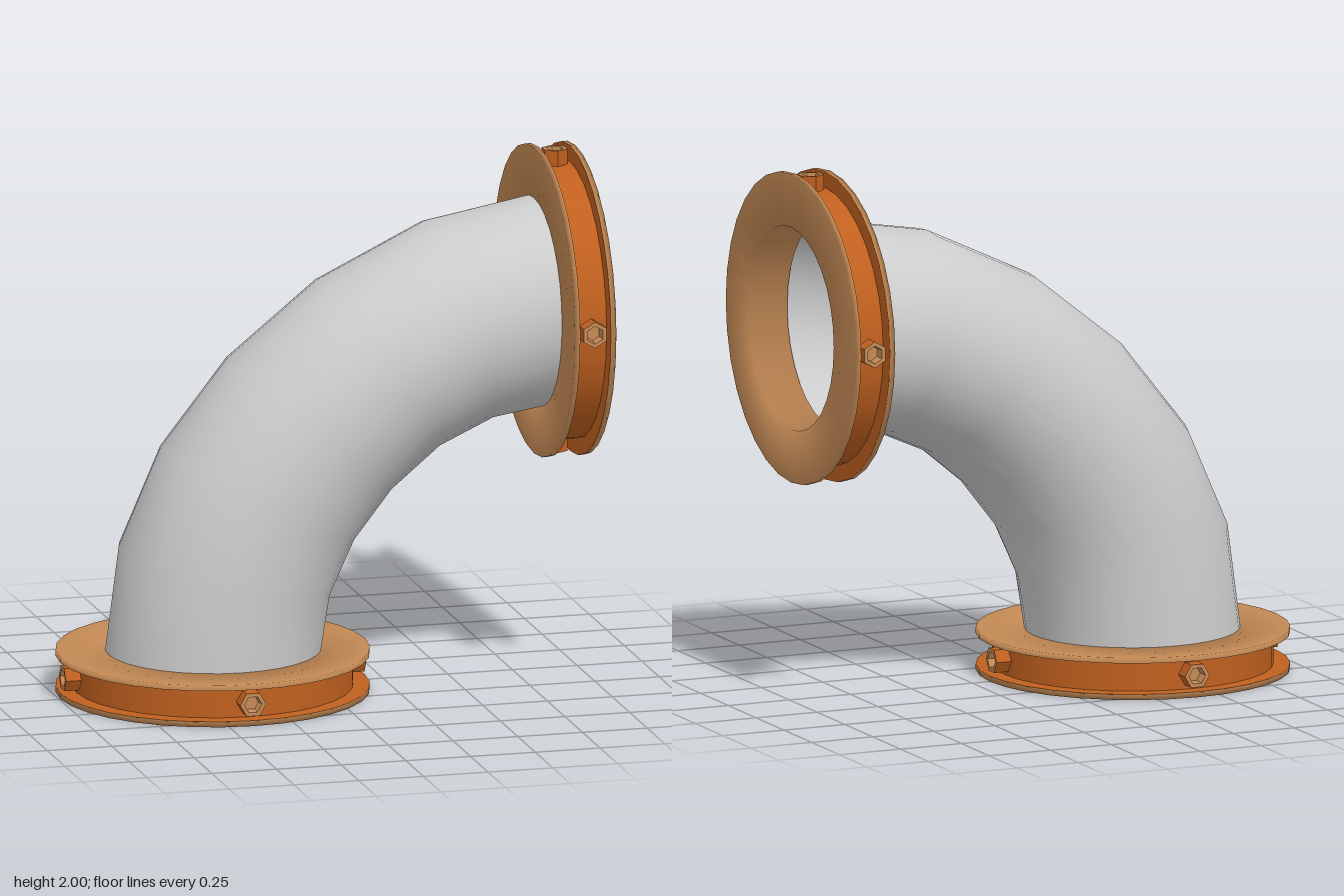
import * as THREE from 'three';
import { mergeGeometries } from 'three/addons/utils/BufferGeometryUtils.js';

const mat = (name, color, side = THREE.FrontSide) => {
  const m = new THREE.MeshStandardMaterial({ color, side });
  m.name = name;
  return m;
};

const lathe = (pts, sides) =>
  new THREE.LatheGeometry(pts.map(([r, y]) => new THREE.Vector2(r, y)), sides);

function flat(geometry) {
  const g = geometry.toNonIndexed();
  g.computeVertexNormals();
  return g;
}

function add(parent, name, geometry, material) {
  const mesh = new THREE.Mesh(geometry, material);
  mesh.name = name;
  parent.add(mesh);
  return mesh;
}

// Bent tube lofted through rings, each given by its outer and inner bend point
function pipeGeometry() {
  const rings = [ // outer x, y, inner x, y, sideways shift
    [-0.812, 0.15, -0.004, 0.15, 0.003],
    [-0.76, 0.56, 0.03, 0.37, 0.01],
    [-0.6, 0.93, 0.12, 0.57, 0.015],
    [-0.34, 1.26, 0.26, 0.75, 0.017],
    [0.01, 1.54, 0.44, 0.9, 0.015],
    [0.43, 1.74, 0.64, 0.99, 0.01],
    [0.85, 1.813, 0.85, 1.02, 0.002],
  ];
  const sides = 32, pos = [], index = [];
  for (const [ox, oy, ix, iy, dz] of rings) {
    for (let j = 0; j < sides; j++) {
      const a = (j / sides) * Math.PI * 2, t = (1 + Math.cos(a)) / 2;
      pos.push(ix + (ox - ix) * t, iy + (oy - iy) * t, 0.4 * Math.sin(a) + dz);
    }
  }
  for (let i = 0; i < rings.length - 1; i++) {
    for (let j = 0; j < sides; j++) {
      const k = (j + 1) % sides;
      const a = i * sides + j, b = i * sides + k, c = a + sides, d = b + sides;
      index.push(a, b, c, b, d, c);
    }
  }
  const g = new THREE.BufferGeometry();
  g.setAttribute('position', new THREE.Float32BufferAttribute(pos, 3));
  g.setIndex(index);
  g.computeVertexNormals();
  return g;
}

// Grooved ring with four socket bolts, its axis along y
function makeFlange(name, tan, orange) {
  const group = new THREE.Group();
  group.name = name;
  const R = 0.587, bore = 0.385, groove = 0.525, h = 0.08, lip = 0.059;

  // Softly shaded faces, rims and bore
  add(group, 'flangeShell', lathe(
    [[R, lip], [R, h], [bore, h], [bore, -h], [R, -h], [R, -lip]], 32), tan);

  // Groove floor and its two walls
  add(group, 'flangeGroove', mergeGeometries([
    lathe([[R, -lip], [groove, -lip]], 32),
    lathe([[groove, -lip], [groove, lip]], 32),
    lathe([[groove, lip], [R, lip]], 32),
  ]), orange);

  // Hexagonal bolts with recessed sockets
  const side = flat(lathe([[0.05, 0.51], [0.05, 0.58]], 6));
  const socket = flat(lathe([[0.05, 0.58], [0.034, 0.58], [0.03, 0.54], [0, 0.54]], 6));
  for (let k = 0; k < 4; k++) {
    const bolt = new THREE.Group();
    bolt.name = 'bolt';
    const place = g => g.clone().rotateZ(-Math.PI / 2);
    add(bolt, 'boltSide', place(side), orange);
    add(bolt, 'boltSocket', place(socket), tan);
    bolt.rotation.y = (k * Math.PI) / 2;
    group.add(bolt);
  }
  return group;
}

export function createModel() {
  const grey = mat('pipeGrey', 0xcccccc, THREE.DoubleSide);
  const tan = mat('flangeTan', 0xc48a55);
  const orange = mat('grooveOrange', 0xc0601f);

  const model = new THREE.Group();
  model.name = 'pipeElbow';
  add(model, 'pipe', pipeGeometry(), grey);

  const base = makeFlange('baseFlange', tan, orange);
  base.position.set(-0.408, 0.081, 0);
  const end = makeFlange('endFlange', tan, orange);
  end.position.set(0.913, 1.415, 0);
  end.rotation.z = -Math.PI / 2;
  model.add(base, end);
  return model;
}
